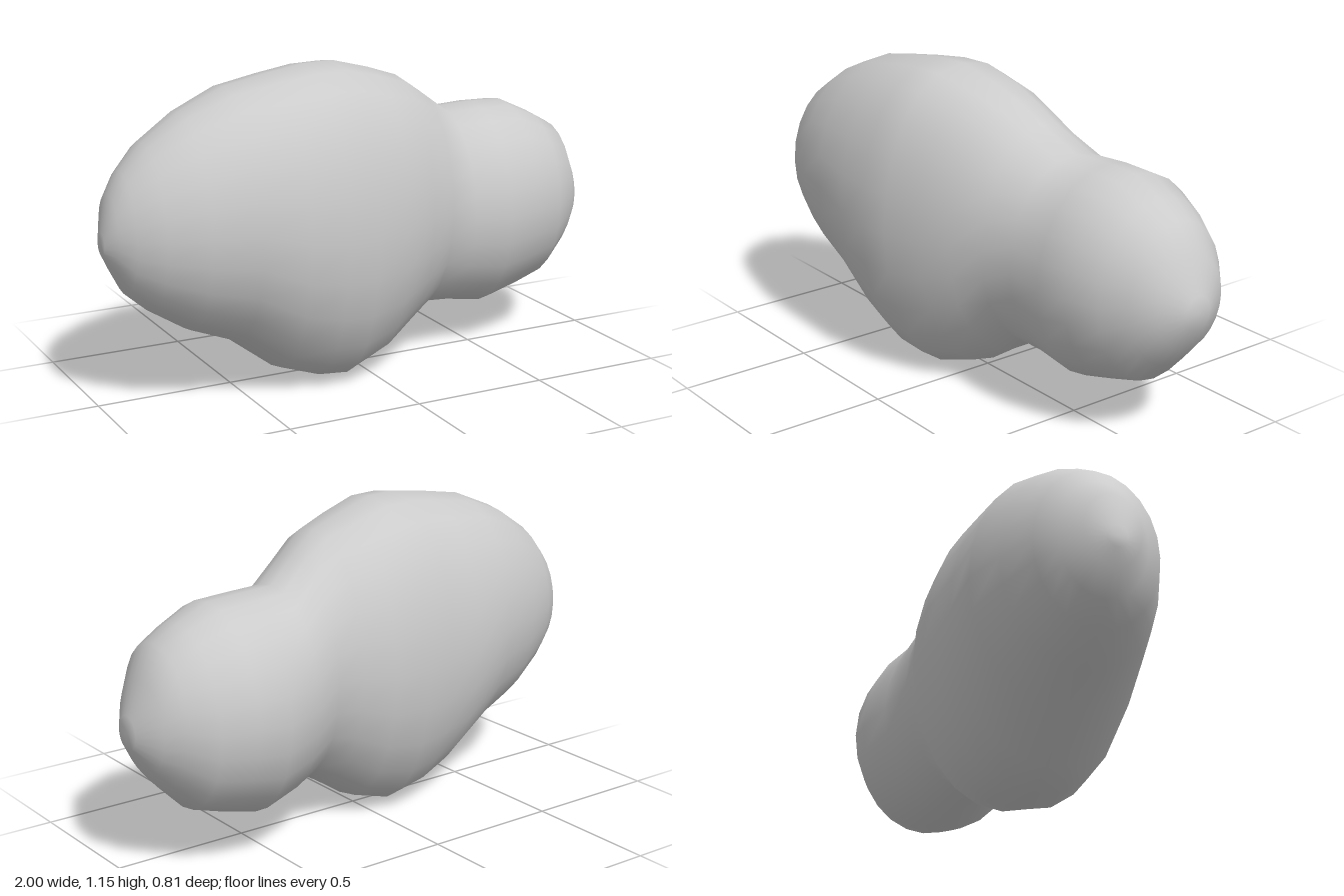
import * as THREE from 'three';

const SEGMENTS = 24;

// Cross-sections along x: [x, top, bottom, front, back, lower fullness, upper fullness]
// Fullness is the power on the width: below 1 is boxier, above 1 is narrower.
const sections = [
  [-1, 0.65, 0.57, 0.13, 0.06, 1, 1],
  [-0.97, 0.78, 0.51, 0.19, -0.01, 1, 1],
  [-0.92, 0.85, 0.42, 0.23, -0.08, 1, 1],
  [-0.84, 0.94, 0.35, 0.3, -0.14, 1, 1],
  [-0.7, 1.03, 0.26, 0.35, -0.21, 1, 1],
  [-0.53, 1.1, 0.19, 0.39, -0.27, 1.05, 0.95],
  [-0.36, 1.13, 0.06, 0.4, -0.295, 1.05, 0.9],
  [-0.22, 1.15, 0.015, 0.405, -0.31, 0.88, 0.87],
  [-0.1, 1.15, 0, 0.39, -0.325, 0.85, 0.87],
  [0.05, 1.11, 0.045, 0.35, -0.325, 0.95, 0.9],
  [0.17, 1.07, 0.125, 0.305, -0.295, 1.05, 0.95],
  [0.28, 1, 0.19, 0.25, -0.3, 1.05, 1],
  [0.4, 0.92, 0.17, 0.215, -0.35, 1, 1],
  [0.55, 0.92, 0.14, 0.22, -0.4, 1, 1],
  [0.68, 0.915, 0.175, 0.21, -0.405, 1, 1],
  [0.8, 0.86, 0.21, 0.165, -0.36, 1, 1],
  [0.89, 0.81, 0.3, 0.11, -0.3, 1, 1],
  [0.95, 0.7, 0.37, 0.04, -0.25, 1, 1],
  [1, 0.58, 0.46, -0.04, -0.15, 1, 1],
];

// Skin a closed surface over the rings, with a centre point closing each end
function loft(rings) {
  const positions = [];
  const index = [];
  for (const [x, top, bottom, front, back, lower, upper] of rings) {
    const cy = (top + bottom) / 2, hy = (top - bottom) / 2;
    const cz = (front + back) / 2, hz = (front - back) / 2;
    for (let j = 0; j < SEGMENTS; j++) {
      const a = (j / SEGMENTS) * Math.PI * 2;
      const c = Math.cos(a), s = Math.sin(a);
      const width = Math.sign(c) * Math.pow(Math.abs(c), s < 0 ? lower : upper);
      positions.push(x, cy + hy * s, cz + hz * width);
    }
  }
  const at = (i, j) => i * SEGMENTS + (j % SEGMENTS);
  for (let i = 0; i < rings.length - 1; i++) {
    for (let j = 0; j < SEGMENTS; j++) {
      const a = at(i, j), b = at(i + 1, j), c = at(i + 1, j + 1), d = at(i, j + 1);
      index.push(a, b, c, a, c, d);
    }
  }
  const last = rings.length - 1;
  for (const i of [0, last]) {
    const [x, top, bottom, front, back] = rings[i];
    const centre = positions.length / 3;
    positions.push(x, (top + bottom) / 2, (front + back) / 2);
    for (let j = 0; j < SEGMENTS; j++) {
      if (i === 0) index.push(centre, at(i, j), at(i, j + 1));
      else index.push(centre, at(i, j + 1), at(i, j));
    }
  }
  const geometry = new THREE.BufferGeometry();
  geometry.setAttribute('position', new THREE.Float32BufferAttribute(positions, 3));
  geometry.setIndex(index);
  geometry.computeVertexNormals();
  return geometry;
}

export function createModel() {
  const group = new THREE.Group();
  group.name = 'lobedBlob';

  // One smooth skin: large left lobe, lower bulge and smaller right lobe
  const material = new THREE.MeshStandardMaterial({ color: 0xcccccc });
  const body = new THREE.Mesh(loft(sections), material);
  body.name = 'body';
  group.add(body);
  return group;
}
